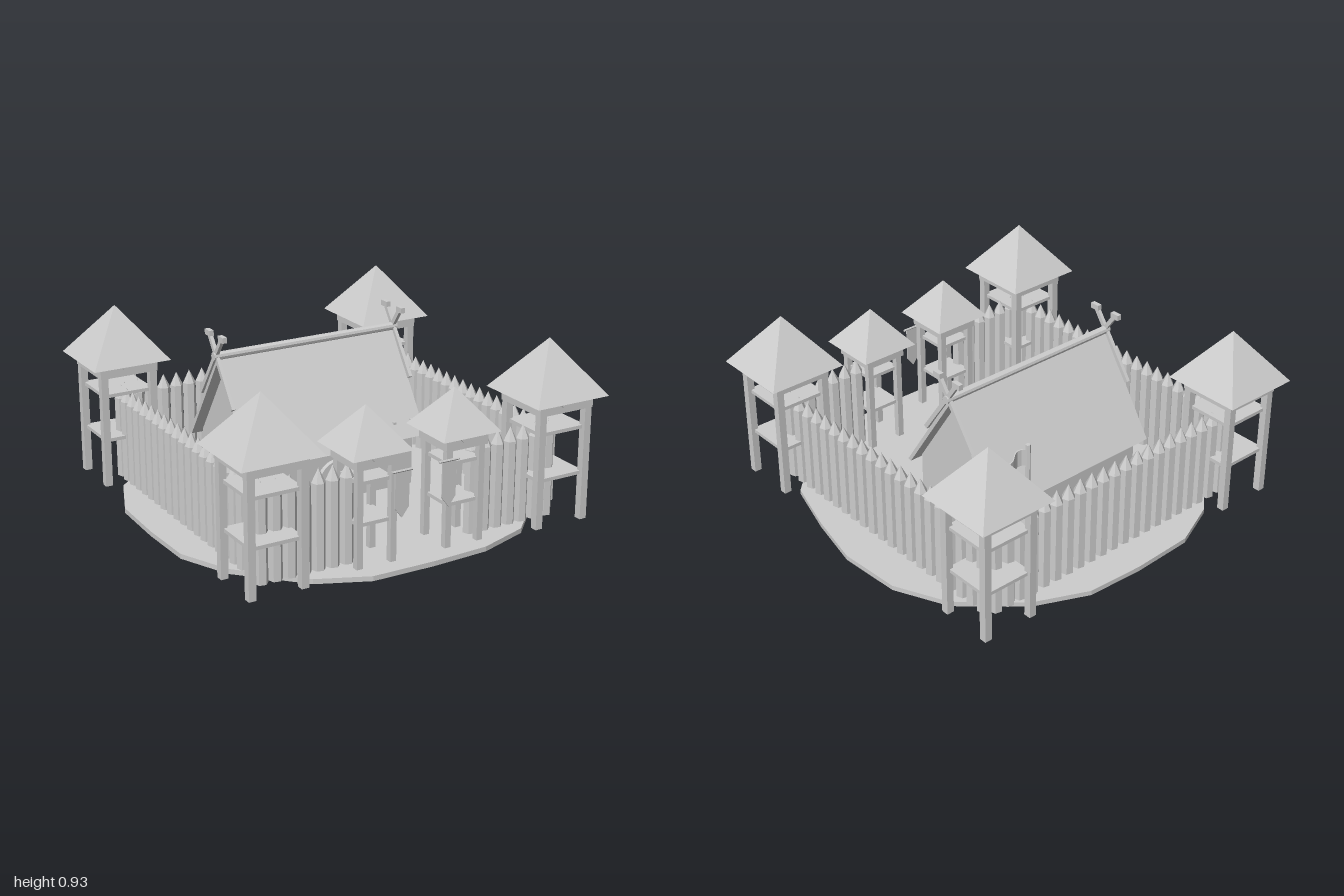
import * as THREE from 'three';

const stone = new THREE.MeshStandardMaterial({ color: 0xcccccc, flatShading: true });
stone.name = 'pale grey';

function add(parent, name, geometry, x = 0, y = 0, z = 0) {
  const mesh = new THREE.Mesh(geometry, stone);
  mesh.name = name;
  mesh.position.set(x, y, z);
  parent.add(mesh);
  return mesh;
}
const box = (w, h, d) => new THREE.BoxGeometry(w, h, d);
const shapeOf = pts => new THREE.Shape(pts.map(p => new THREE.Vector2(...p)));
const extrude = (shape, depth, curveSegments = 10) =>
  new THREE.ExtrudeGeometry(shape, { depth, bevelEnabled: false, curveSegments }).translate(0, 0, -depth / 2);

const GROUND = 0.025;

// Open watchtower: four posts, two floors, lintels and a pyramid roof
function tower(name, x, z, o) {
  const g = new THREE.Group();
  g.name = name;
  g.position.set(x, 0, z);
  const postTop = o.lintelY;
  for (const sx of [-1, 1]) for (const sz of [-1, 1]) {
    add(g, 'post', box(o.post, postTop - GROUND, o.post), sx * o.postAt, (postTop + GROUND) / 2, sz * o.postAt);
  }
  for (const y of o.floors) add(g, 'floor', box(o.postAt * 2, 0.018, o.postAt * 2), 0, y, 0);
  const h = o.eaveY - o.lintelY;
  for (const s of [-1, 1]) {
    add(g, 'lintel', box(o.lintel * 2, h, 0.035), 0, o.lintelY + h / 2, s * (o.lintel - 0.0175));
    add(g, 'lintel', box(0.035, h, o.lintel * 2 - 0.07), s * (o.lintel - 0.0175), o.lintelY + h / 2, 0);
  }
  // half-round plaque under the front eave
  const plaque = new THREE.Shape().absarc(0, 0, 0.042, Math.PI, Math.PI * 2, false);
  add(g, 'plaque', extrude(plaque, 0.008), 0, o.eaveY, o.lintel + 0.004);
  const roofH = o.apexY - o.eaveY;
  const roof = new THREE.ConeGeometry(o.roof * Math.SQRT2, roofH, 4).rotateY(Math.PI / 4);
  add(g, 'towerRoof', roof, 0, o.eaveY + roofH / 2, 0);
  return g;
}

// Row of sharpened logs between two points
function palisade(name, x0, z0, x1, z1) {
  const g = new THREE.Group();
  g.name = name;
  const n = Math.round(Math.hypot(x1 - x0, z1 - z0) / 0.074);
  const body = new THREE.CylinderGeometry(0.034, 0.034, 0.425, 6);
  const tip = new THREE.ConeGeometry(0.034, 0.07, 6);
  for (let i = 0; i <= n; i++) {
    const x = x0 + (x1 - x0) * i / n, z = z0 + (z1 - z0) * i / n;
    add(g, 'log', body, x, GROUND + 0.2125, z).rotation.y = 0.3;
    add(g, 'logTip', tip, x, 0.485, z).rotation.y = 0.3;
  }
  return g;
}

// Long hall with steep roof, ridge log and crossed gable boards
function hall() {
  const g = new THREE.Group();
  g.name = 'hall';
  g.position.set(-0.017, 0, -0.175);
  const alongX = geo => geo.rotateY(Math.PI / 2);
  const walls = shapeOf([[-0.285, GROUND], [0.285, GROUND], [0.285, 0.31], [0, 0.74], [-0.285, 0.31]]);
  add(g, 'walls', alongX(extrude(walls, 0.9)));
  const roof = shapeOf([[-0.325, 0.29], [-0.305, 0.285], [0, 0.745], [0.305, 0.285], [0.325, 0.29], [0, 0.78]]);
  add(g, 'hallRoof', alongX(extrude(roof, 1.01)));
  add(g, 'ridgeLog', new THREE.CylinderGeometry(0.021, 0.021, 1.05, 10).rotateZ(Math.PI / 2), 0, 0.782, 0);

  // crossed boards ending in carved heads
  for (const sx of [-1, 1]) for (const sz of [-1, 1]) {
    const x = sx * 0.508;
    const from = new THREE.Vector2(sz * 0.168, 0.553), to = new THREE.Vector2(-sz * 0.06, 0.875);
    const d = to.clone().sub(from);
    const board = add(g, 'gableBoard', box(0.018, d.length(), 0.022), x, (from.y + to.y) / 2, (from.x + to.x) / 2);
    board.rotation.x = Math.atan2(d.x, d.y);
    add(g, 'boardHead', box(0.024, 0.028, 0.05), x, 0.886, -sz * 0.07);
  }
  // pegs along the front eave
  for (let i = 0; i < 10; i++) {
    add(g, 'roofPeg', box(0.016, 0.012, 0.02), -0.453 + i * 0.1, 0.366, 0.277);
  }
  // arched doorway
  const arch = new THREE.Shape().moveTo(0.108, GROUND).lineTo(0.108, 0.135)
    .absarc(0, 0.135, 0.108, 0, Math.PI, false).lineTo(-0.108, GROUND)
    .lineTo(-0.082, GROUND).lineTo(-0.082, 0.135)
    .absarc(0, 0.135, 0.082, Math.PI, 0, true).lineTo(0.082, GROUND);
  add(g, 'doorArch', extrude(arch, 0.03), 0, 0, 0.295);
  for (const s of [-1, 1]) add(g, 'archCapital', box(0.045, 0.018, 0.036), s * 0.097, 0.1, 0.295);
  add(g, 'doorLintel', box(0.34, 0.02, 0.02), 0, 0.265, 0.292);
  return g;
}

// Flag on a pole behind the hall
function flag() {
  const g = new THREE.Group();
  g.name = 'flag';
  g.position.set(0.24, 0, -0.455);
  add(g, 'flagPole', new THREE.CylinderGeometry(0.013, 0.013, 0.23, 6), 0, 0.445, 0);
  const cloth = new THREE.BoxGeometry(0.17, 0.09, 0.006, 8, 1, 1).translate(0.09, 0.49, 0);
  const p = cloth.attributes.position;
  for (let i = 0; i < p.count; i++) {
    const x = p.getX(i);
    p.setZ(i, p.getZ(i) + Math.sin(x * 36) * 0.025);
    p.setY(i, p.getY(i) - x * 0.1);
  }
  add(g, 'flagCloth', cloth);
  return g;
}

// Pointed banner hanging from a short rod
function banner(x) {
  const g = new THREE.Group();
  g.name = 'banner';
  g.position.set(x, 0, 0.908);
  add(g, 'bannerRod', new THREE.CylinderGeometry(0.006, 0.006, 0.11, 6).rotateZ(Math.PI / 2), 0, 0.478, 0);
  const cloth = shapeOf([[-0.038, 0.475], [-0.038, 0.3], [0, 0.25], [0.038, 0.3], [0.038, 0.475]]);
  add(g, 'bannerCloth', extrude(cloth, 0.006));
  return g;
}

export function createModel() {
  const model = new THREE.Group();
  model.name = 'palisadeFort';

  // rounded, slightly uneven ground plate (x, z outline)
  const outline = [[-0.33, 0.97], [-0.58, 0.86], [-0.86, 0.57], [-0.975, 0.31], [-0.985, 0], [-0.975, -0.32],
    [-0.86, -0.6], [-0.58, -0.86], [-0.33, -0.97], [0, -0.985], [0.3, -0.97], [0.57, -0.85], [0.85, -0.6],
    [0.975, -0.33], [0.995, 0], [0.93, 0.3], [0.84, 0.6], [0.57, 0.87], [0.3, 0.96], [0, 0.975]];
  const ground = extrude(shapeOf(outline.map(([x, z]) => [x, -z])), GROUND).rotateX(-Math.PI / 2);
  add(model, 'ground', ground, 0, GROUND / 2, 0);

  const corner = { post: 0.038, postAt: 0.133, lintel: 0.155, lintelY: 0.6, eaveY: 0.662, apexY: 0.93, roof: 0.208, floors: [0.265, 0.5] };
  for (const x of [-0.79, 0.765]) for (const z of [-0.78, 0.775]) model.add(tower('cornerTower', x, z, corner));

  const gate = { post: 0.032, postAt: 0.09, lintel: 0.115, lintelY: 0.51, eaveY: 0.577, apexY: 0.777, roof: 0.16, floors: [0.235, 0.437] };
  for (const x of [-0.257, 0.225]) model.add(tower('gateTower', x, 0.775, gate));
  for (const x of [-0.143, 0.113]) model.add(banner(x));

  model.add(palisade('sidePalisade', -0.79, -0.742, -0.79, 0.742));
  model.add(palisade('sidePalisade', 0.765, -0.742, 0.765, 0.742));
  model.add(palisade('backPalisade', -0.755, -0.78, 0.725, -0.78));
  model.add(palisade('frontPalisade', -0.8, 0.775, -0.355, 0.775));
  model.add(palisade('frontPalisade', 0.332, 0.775, 0.777, 0.775));

  model.add(hall(), flag());
  return model;
}
